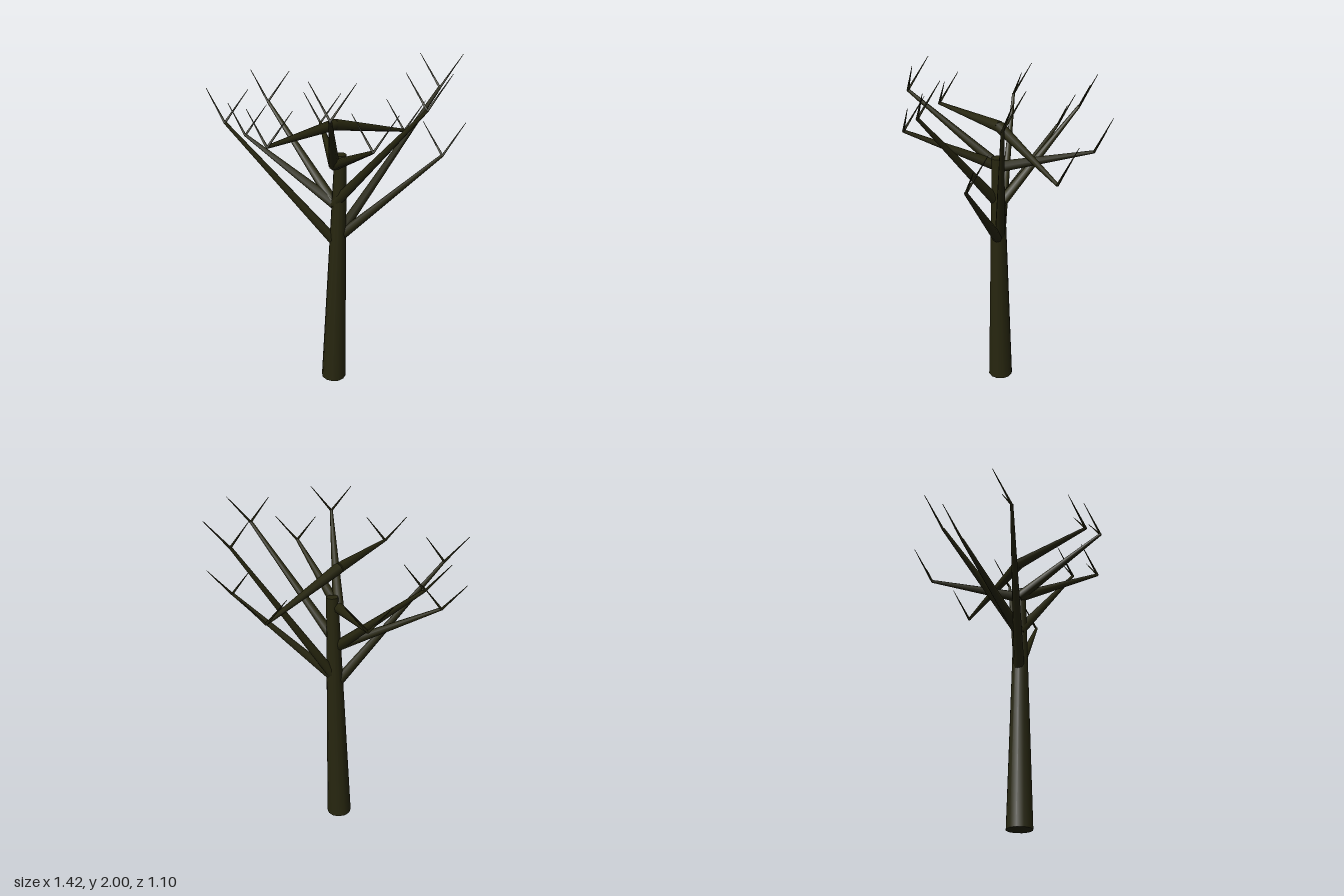
import * as THREE from 'three';

const bark = new THREE.MeshStandardMaterial({ color: 0x27260f });
bark.name = 'dark bark';

// Tapered limb running from one point to another
function limb(name, from, to, r0, r1, sides) {
  const a = new THREE.Vector3(...from);
  const b = new THREE.Vector3(...to);
  const dir = b.clone().sub(a);
  const mesh = new THREE.Mesh(new THREE.CylinderGeometry(r1, r0, dir.length(), sides), bark);
  mesh.name = name;
  mesh.position.copy(a).add(b).multiplyScalar(0.5);
  mesh.quaternion.setFromUnitVectors(new THREE.Vector3(0, 1, 0), dir.normalize());
  return mesh;
}

// Branch ends [x, z]; their start and end heights repeat in cycles of four and three
const TIPS = [
  [0.59, 0.03], [-0.45, -0.32], [0.045, 0.545], [0.36, -0.38],
  [-0.595, 0.12], [0.5, 0.305], [-0.16, -0.47], [-0.28, 0.49],
  [0.555, -0.15], [-0.56, -0.17], [0.25, 0.495],
];
const START_HEIGHTS = [0.95, 1.185, 1.42, 1.655];
const END_HEIGHTS = [1.505, 1.67, 1.835];

export function createModel() {
  const tree = new THREE.Group();
  tree.name = 'bareTree';

  // Slightly leaning trunk
  tree.add(limb('trunk', [-0.01, 0.002, 0.034], [0.03, 1.485, 0.035], 0.075, 0.034, 12));

  // Spiral of branches, each ending in a fork of two twigs
  TIPS.forEach(([x, z], i) => {
    const y = END_HEIGHTS[i % 3];
    const branch = new THREE.Group();
    branch.name = 'branch' + (i + 1);
    branch.add(limb('bough', [-0.005, START_HEIGHTS[i % 4], 0.034], [x, y, z], 0.032, 0.009, 8));
    for (const side of [-1, 1]) {
      branch.add(limb(side < 0 ? 'rightTwig' : 'leftTwig',
        [x, y - 0.003, z], [x + side * 0.117, y + 0.165, z - 0.082], 0.007, 0.0015, 6));
    }
    tree.add(branch);
  });

  return tree;
}
